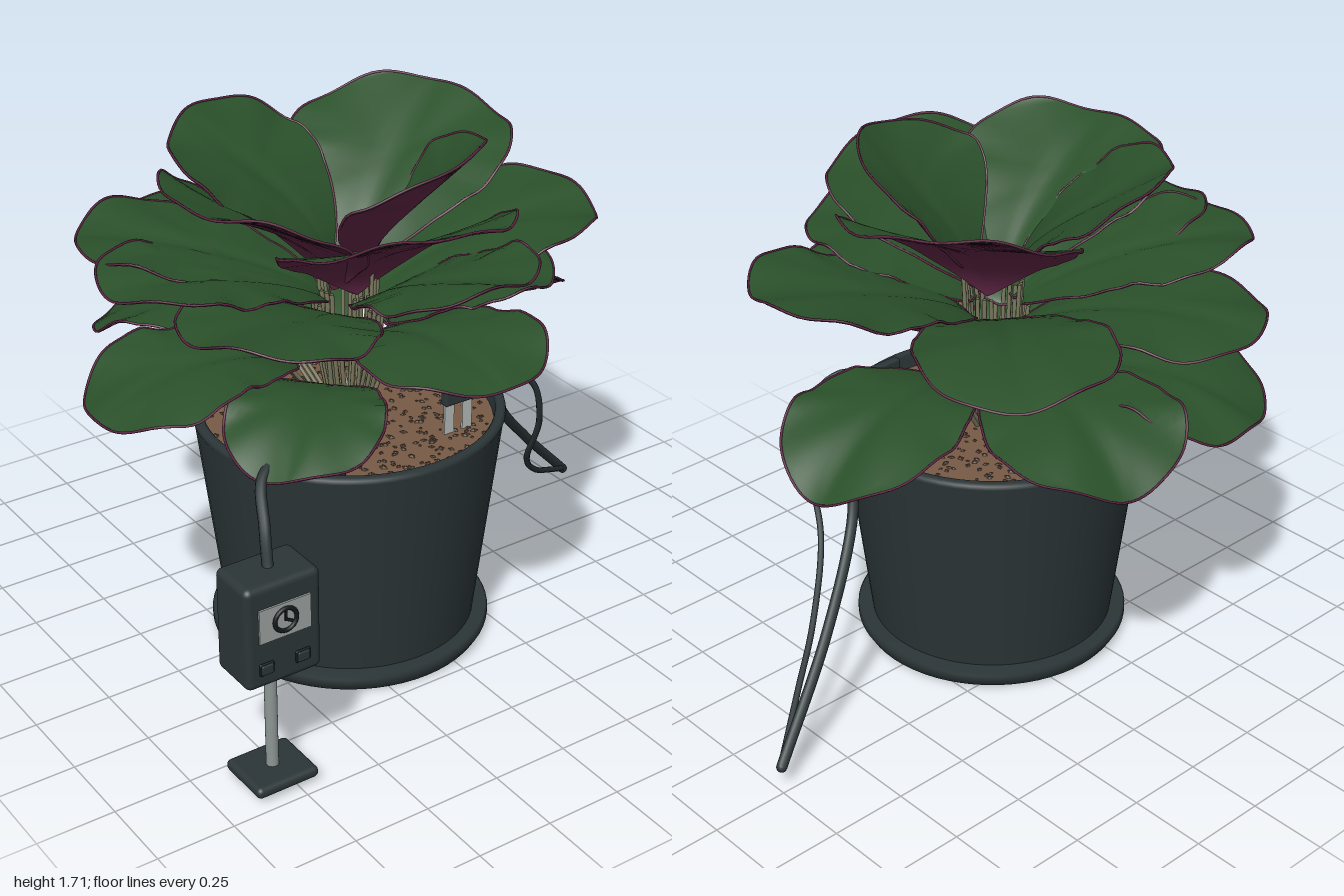
import * as THREE from 'three';
import { mergeGeometries } from 'three/addons/utils/BufferGeometryUtils.js';
import { RoundedBoxGeometry } from 'three/addons/geometries/RoundedBoxGeometry.js';

const mat = (name, color, side = THREE.FrontSide) => {
  const m = new THREE.MeshStandardMaterial({ color, side });
  m.name = name;
  return m;
};
const M = {
  leafGreen: mat('leaf green', 0x2a502a, THREE.DoubleSide),
  leafMaroon: mat('leaf maroon', 0x5e2544, THREE.DoubleSide),
  plastic: mat('dark plastic', 0x2b3537, THREE.DoubleSide),
  black: mat('black', 0x14191a),
  soil: mat('soil brown', 0x775b45, THREE.DoubleSide),
  soilDark: mat('soil dark', 0x523e30),
  stem: mat('stem olive', 0x7a7a5f, THREE.DoubleSide),
  metal: mat('grey metal', 0x8d9694),
  screen: mat('screen grey', 0x9aa19e),
  prong: mat('pale metal', 0xb2b8b6),
};
const CX = -0.12, CZ = 0.035; // pot and plant axis

function add(parent, name, geo, material, x = 0, y = 0, z = 0) {
  const m = new THREE.Mesh(geo, material);
  m.name = name;
  m.position.set(x, y, z);
  parent.add(m);
  return m;
}
const curve = (pts, closed = false) =>
  new THREE.CatmullRomCurve3(pts.map((p) => new THREE.Vector3(...p)), closed);
const lathe = (pts) => new THREE.LatheGeometry(pts.map((p) => new THREE.Vector2(...p)), 64);

function rng(seed) {
  return () => (seed = (seed * 16807) % 2147483647) / 2147483647;
}

// Round wavy blade running outwards from the plant axis to its tip
function bladeGeometry({ tip, r0, y0, y1, arch, width, curl, power, wave }, seed) {
  const NU = 28, NV = 24, pos = [], idx = [], left = [], right = [];
  const dx = tip[0] - CX, dz = tip[1] - CZ, len = Math.hypot(dx, dz);
  const d = [dx / len, dz / len];
  for (let i = 0; i <= NU; i++) {
    const u = (1 - Math.cos((Math.PI * i) / NU)) / 2;
    const half = (width * Math.sqrt(Math.max(0, 1 - (2 * u - 1) ** 2)) * (0.55 + 0.5 * u)) / 0.86;
    for (let j = 0; j <= NV; j++) {
      const v = (j / NV) * 2 - 1, s = v * half;
      const r = r0 + (len - r0) * u - curl * s * s;
      const a = Math.atan2(s, u - 0.45);
      const edge = Math.max(v * v * u, u ** 4);
      const y = y0 + (y1 - y0) * u ** power + arch * 4 * u * (1 - u)
        + wave * edge * (Math.sin(a * 5 + seed * 1.7) + 0.5 * Math.sin(a * 11 + seed))
        - 0.012 * Math.exp(-v * v * 60) * u * (1 - u) * 4;
      const p = [CX + d[0] * r + d[1] * s, y, CZ + d[1] * r - d[0] * s];
      pos.push(...p);
      if (j === 0) left.push(p);
      if (j === NV && i > 0 && i < NU) right.unshift(p);
      if (i < NU && j < NV) {
        const k = i * (NV + 1) + j, q = k + NV + 1;
        idx.push(k, q, k + 1, q, q + 1, k + 1);
      }
    }
  }
  const top = new THREE.BufferGeometry();
  top.setAttribute('position', new THREE.Float32BufferAttribute(pos, 3));
  top.setIndex(idx);
  top.computeVertexNormals();
  // underside sits a little below the top, facing the other way
  const under = top.clone();
  const thickness = 0.005, normal = top.attributes.normal;
  under.setAttribute('position', new THREE.Float32BufferAttribute(
    pos.map((c, i) => c - thickness * normal.array[i]), 3));
  under.setIndex([...idx].reverse());
  under.computeVertexNormals();
  const rim = new THREE.TubeGeometry(curve([...left, ...right], true), 90, 0.004, 5, true);
  return { top, under, rim, d };
}

// Leaf tiers: shared shape, then [tip x, tip z, base y, tip y, half width] per leaf
const tiers = [
  { name: 'innerLeaf', r0: 0.06, arch: 0, curl: 1.3, power: 0.7, wave: 0.012, leaves: [
    [0.1, 0.39, 1.27, 1.69, 0.33]] },
  { name: 'upperLeaf', r0: 0.06, arch: 0, curl: 0.5, power: 0.55, wave: 0.018, leaves: [
    [-0.42, -0.42, 1.25, 1.67, 0.33], [-0.71, 0.14, 1.2, 1.63, 0.37], [0.42, -0.28, 1.22, 1.65, 0.38],
    [-0.2, 0.62, 1.19, 1.57, 0.38]] },
  { name: 'middleLeaf', r0: 0.08, arch: 0.03, curl: 0.2, power: 0.65, wave: 0.02, leaves: [
    [-0.8, -0.42, 1.16, 1.38, 0.29], [0.66, 0.2, 1.14, 1.38, 0.32], [-0.74, 0.4, 1.12, 1.28, 0.31],
    [0.02, 0.65, 1.15, 1.38, 0.31], [-0.91, -0.05, 1.16, 1.37, 0.26]] },
  { name: 'droopingLeaf', r0: 0.09, arch: 0.08, curl: 0.1, power: 0.9, wave: 0.018, leaves: [
    [0.4, -0.67, 1.15, 1.27, 0.31], [-0.45, -0.78, 1.12, 1.24, 0.31]] },
  { name: 'lowerLeaf', r0: 0.12, arch: 0.09, curl: 0.1, power: 1.2, wave: 0.016, leaves: [
    [-0.1, 0.79, 1.08, 1.15, 0.3], [0.4, 0.38, 1.08, 1.26, 0.28]] },
  { name: 'bottomLeaf', r0: 0.2, arch: 0.1, curl: 0, power: 2.2, wave: 0.02, leaves: [
    [-0.99, 0.02, 0.99, 0.97, 0.28], [-0.5, -0.76, 0.96, 0.91, 0.32], [0.13, -0.79, 0.97, 0.93, 0.32],
    [0.77, -0.2, 0.98, 0.92, 0.28], [-0.68, 0.56, 0.95, 0.92, 0.24]] },
];

function buildPlant() {
  const plant = new THREE.Group();
  plant.name = 'plant';
  const stems = [];
  let n = 1;
  for (const tier of tiers) {
    for (const [x, z, y0, y1, width] of tier.leaves) {
      const { top, under, rim, d } = bladeGeometry({ ...tier, tip: [x, z], y0, y1, width }, n);
      const leaf = new THREE.Group();
      leaf.name = tier.name + n++;
      add(leaf, 'leafTop', top, M.leafGreen);
      add(leaf, 'leafUnderside', under, M.leafMaroon);
      add(leaf, 'leafRim', rim, M.leafMaroon);
      plant.add(leaf);
      // three slim stalks per leaf, ending just under the blade
      for (const o of [-0.022, 0, 0.022]) {
        const at = (r, y) => [CX + d[0] * r + d[1] * o, y, CZ + d[1] * r - d[0] * o];
        const end = tier.r0 + 0.03;
        stems.push(new THREE.TubeGeometry(
          curve([at(0.04, 0.72), at(0.04 + end * 0.4, (0.72 + y0) / 2), at(end, y0)]), 8, 0.007, 6));
      }
    }
  }
  add(plant, 'stems', mergeGeometries(stems), M.stem);
  return plant;
}

function buildPot() {
  const pot = new THREE.Group();
  pot.name = 'pot';
  add(pot, 'saucer', lathe([[0, 0], [0.425, 0], [0.435, 0.005], [0.45, 0.03], [0.45, 0.05], [0.443, 0.06], [0, 0.06]]), M.plastic);
  add(pot, 'potWall', lathe([[0.4, 0.05], [0.403, 0.07], [0.487, 0.765], [0.492, 0.775], [0.49, 0.787],
    [0.482, 0.793], [0.465, 0.793], [0.458, 0.785], [0.45, 0.7]]), M.plastic);
  const soil = new THREE.CircleGeometry(0.458, 48).rotateX(-Math.PI / 2);
  add(pot, 'soil', soil, M.soil, 0, 0.74, 0);
  // loose granules
  const rand = rng(77), grains = [];
  for (let i = 0; i < 480; i++) {
    const r = 0.44 * Math.sqrt(rand()), a = rand() * Math.PI * 2, s = 0.005 + rand() * 0.006;
    const g = new THREE.OctahedronGeometry(s).scale(1.4, 0.6, 1).rotateY(rand() * 3);
    grains.push(g.translate(r * Math.cos(a), 0.741, r * Math.sin(a)));
  }
  add(pot, 'soilGranules', mergeGeometries(grains), M.soilDark);
  pot.position.set(CX, 0, CZ);
  return pot;
}

function buildTimer() {
  const t = new THREE.Group();
  t.name = 'timer';
  add(t, 'foot', new RoundedBoxGeometry(0.21, 0.036, 0.19, 3, 0.017), M.plastic, 0, 0.038, 0);
  add(t, 'post', new THREE.CylinderGeometry(0.019, 0.019, 0.37, 20), M.metal, 0, 0.23, 0);
  add(t, 'housing', new RoundedBoxGeometry(0.25, 0.335, 0.17, 4, 0.022), M.plastic, 0, 0.567, 0);
  add(t, 'screen', new THREE.BoxGeometry(0.17, 0.11, 0.008), M.screen, 0, 0.61, 0.087);
  add(t, 'clockRing', new THREE.TorusGeometry(0.036, 0.007, 8, 32), M.black, 0, 0.611, 0.092);
  add(t, 'minuteHand', new THREE.BoxGeometry(0.008, 0.028, 0.008), M.black, 0, 0.623, 0.092);
  add(t, 'hourHand', new THREE.BoxGeometry(0.026, 0.008, 0.008), M.black, 0.01, 0.606, 0.092).rotation.z = -0.5;
  for (const x of [-0.062, 0.058]) {
    add(t, 'buttonSurround', new RoundedBoxGeometry(0.048, 0.04, 0.012, 2, 0.005), M.black, x, 0.466, 0.085);
    add(t, 'button', new RoundedBoxGeometry(0.04, 0.032, 0.016, 2, 0.005), M.plastic, x, 0.466, 0.088);
  }
  t.position.set(-0.793, 0, 0.627);
  return t;
}

function buildSensor() {
  const s = new THREE.Group();
  s.name = 'moistureSensor';
  add(s, 'sensorHead', new RoundedBoxGeometry(0.112, 0.09, 0.03, 3, 0.007), M.plastic, 0, 0.885, 0);
  add(s, 'sensorDot', new THREE.CylinderGeometry(0.007, 0.007, 0.006, 12).rotateX(Math.PI / 2), M.prong, 0, 0.888, 0.014);
  for (const x of [-0.034, 0.034]) add(s, 'prong', new THREE.BoxGeometry(0.036, 0.15, 0.008), M.prong, x, 0.78, 0);
  s.position.set(0.107, 0, 0.3);
  return s;
}

function buildCables() {
  const g = new THREE.Group();
  g.name = 'cables';
  const cables = [
    ['timerCable', 0.017, [[-0.79, 0.72, 0.625], [-0.77, 0.83, 0.58], [-0.72, 0.925, 0.49], [-0.62, 0.95, 0.44],
      [-0.48, 0.93, 0.39], [-0.38, 0.88, 0.35], [-0.355, 0.74, 0.34]]],
    ['supplyCable', 0.017, [[0.15, 0.82, 0.225], [0.18, 0.865, 0.21], [0.29, 0.885, 0.16], [0.39, 0.82, 0.11],
      [0.48, 0.6, 0.03], [0.7, 0.35, -0.1], [0.98, 0.07, -0.22]]],
    ['sensorCable', 0.01, [[0.14, 0.9, 0.3], [0.25, 0.925, 0.35], [0.34, 0.87, 0.37], [0.41, 0.7, 0.33],
      [0.47, 0.48, 0.2], [0.64, 0.3, 0.04], [0.8, 0.19, -0.08], [0.985, 0.07, -0.22]]],
  ];
  for (const [name, radius, pts] of cables) {
    const c = curve(pts);
    add(g, name, new THREE.TubeGeometry(c, 60, radius, 10), M.plastic);
    for (const p of [c.getPoint(0), c.getPoint(1)]) // rounded ends
      add(g, name + 'End', new THREE.SphereGeometry(radius, 10, 8), M.plastic, p.x, p.y, p.z);
  }
  return g;
}

export function createModel() {
  const model = new THREE.Group();
  model.name = 'pottedPlantWithTimer';
  model.add(buildPot(), buildPlant(), buildTimer(), buildSensor(), buildCables());
  return model;
}
